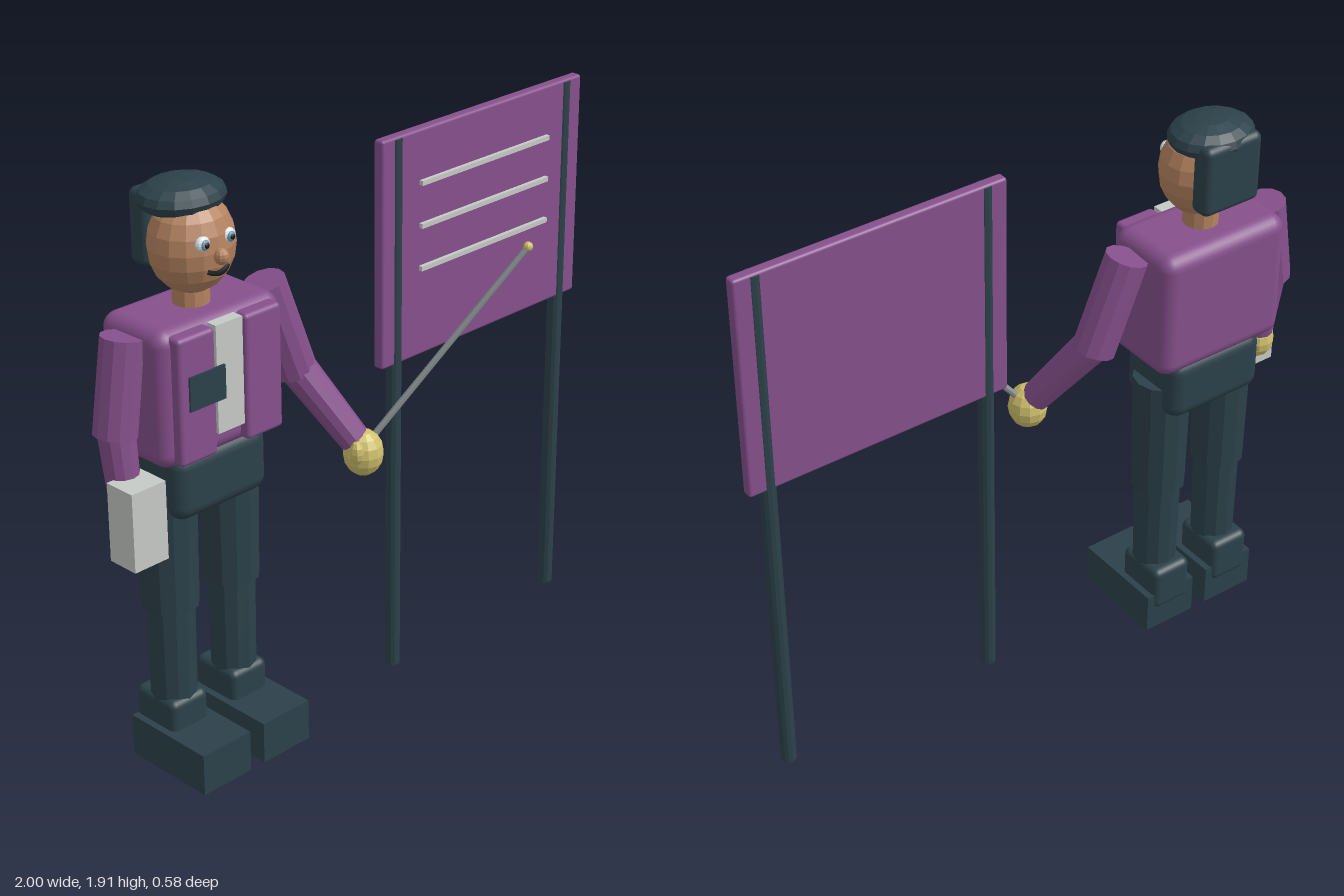
import * as THREE from 'three';
import { RoundedBoxGeometry } from 'three/addons/geometries/RoundedBoxGeometry.js';

function material(name, color) {
  const m = new THREE.MeshStandardMaterial({ color });
  m.name = name;
  return m;
}

const purple = material('purple', 0x86508c);
const dark = material('darkSlate', 0x2c414a);
const skin = material('skin', 0xb58360);
const yellow = material('gloveYellow', 0xcfc06c);
const white = material('paleGrey', 0xc6cac6);
const eyeWhite = material('eyeWhite', 0xdfe8ec);
const iris = material('irisBlue', 0x6f93a6);
const black = material('black', 0x15191b);
const grey = material('pointerGrey', 0x858b8f);

const V = (x, y, z) => new THREE.Vector3(x, y, z);

// Gives a geometry hard facets
function facet(geometry) {
  const g = geometry.toNonIndexed();
  g.computeVertexNormals();
  return g;
}

export function createModel() {
  const model = new THREE.Group();
  model.name = 'presenterWithBoard';

  function add(parent, name, geometry, mat, x = 0, y = 0, z = 0) {
    const mesh = new THREE.Mesh(geometry, mat);
    mesh.name = name;
    mesh.position.set(x, y, z);
    parent.add(mesh);
    return mesh;
  }

  // Box given by its lower and upper corners, rounded when r > 0
  function box(parent, name, mat, [x0, y0, z0], [x1, y1, z1], r = 0) {
    const size = [x1 - x0, y1 - y0, z1 - z0];
    const g = r ? new RoundedBoxGeometry(...size, 3, r) : new THREE.BoxGeometry(...size);
    return add(parent, name, g, mat, (x0 + x1) / 2, (y0 + y1) / 2, (z0 + z1) / 2);
  }

  // Faceted limb from a to b
  function limb(parent, name, mat, a, b, ra, rb, sides = 12) {
    const g = facet(new THREE.CylinderGeometry(rb, ra, a.distanceTo(b), sides));
    const mesh = add(parent, name, g, mat);
    mesh.position.copy(a).lerp(b, 0.5);
    mesh.quaternion.setFromUnitVectors(V(0, 1, 0), b.clone().sub(a).normalize());
    return mesh;
  }

  function ball(parent, name, mat, [x, y, z], [rx, ry, rz], w = 12, h = 8) {
    const g = facet(new THREE.SphereGeometry(1, w, h).scale(rx, ry, rz));
    return add(parent, name, g, mat, x, y, z);
  }

  const figure = new THREE.Group();
  figure.name = 'figure';
  model.add(figure);
  const cx = -0.615;

  // Jacket, shirt and hips
  box(figure, 'jacket', purple, [-0.86, 1.085, -0.285], [-0.37, 1.53, 0.0], 0.05);
  box(figure, 'hips', dark, [-0.8, 0.885, -0.27], [-0.43, 1.11, -0.01], 0.05);
  box(figure, 'shirtFront', white, [-0.668, 1.165, -0.02], [-0.563, 1.515, 0.025]);
  box(figure, 'rightJacketFront', purple, [-0.82, 1.105, -0.03], [-0.675, 1.515, 0.032], 0.015);
  box(figure, 'leftJacketFront', purple, [-0.557, 1.105, -0.03], [-0.41, 1.515, 0.032], 0.015);
  box(figure, 'chestPocket', dark, [-0.785, 1.28, 0.03], [-0.645, 1.39, 0.038]);

  // Legs and shoes
  for (const [side, x] of [['right', -0.742], ['left', -0.488]]) {
    const leg = new THREE.Group();
    leg.name = side + 'Leg';
    figure.add(leg);
    limb(leg, 'thigh', dark, V(x, 0.555, -0.14), V(x, 0.99, -0.14), 0.091, 0.097);
    limb(leg, 'shin', dark, V(x, 0.1, -0.14), V(x, 0.58, -0.14), 0.073, 0.078);
    box(leg, 'ankle', dark, [x - 0.075, 0.08, -0.245], [x + 0.075, 0.245, -0.06], 0.025);
    box(leg, 'shoe', dark, [x - 0.098, 0, -0.235], [x + 0.098, 0.143, 0.102]);
  }

  // Head
  const head = new THREE.Group();
  head.name = 'head';
  figure.add(head);
  limb(head, 'neck', skin, V(cx, 1.5, -0.14), V(cx, 1.62, -0.14), 0.058, 0.058);
  ball(head, 'face', skin, [cx, 1.72, -0.13], [0.14, 0.155, 0.125], 16, 10);
  ball(head, 'hairTop', dark, [cx, 1.857, -0.168], [0.145, 0.058, 0.123], 16, 8);
  box(head, 'hairBack', dark, [cx - 0.11, 1.64, -0.287], [cx + 0.11, 1.88, -0.21], 0.025);
  ball(head, 'nose', skin, [cx, 1.71, -0.001], [0.023, 0.026, 0.025], 10, 8);
  for (const s of [-1, 1]) {
    const x = cx + s * 0.05;
    ball(head, 'eye', eyeWhite, [x, 1.755, -0.025], [0.026, 0.024, 0.018]);
    ball(head, 'iris', iris, [x, 1.755, -0.011], [0.016, 0.016, 0.008]);
    ball(head, 'pupil', black, [x, 1.755, -0.005], [0.009, 0.009, 0.005]);
  }
  const smile = new THREE.QuadraticBezierCurve3(
    V(cx - 0.04, 1.667, -0.02), V(cx, 1.644, 0.0), V(cx + 0.04, 1.667, -0.02));
  add(head, 'mouth', new THREE.TubeGeometry(smile, 10, 0.008, 6), black);

  // Right arm holding a case
  const rightArm = new THREE.Group();
  rightArm.name = 'rightArm';
  figure.add(rightArm);
  limb(rightArm, 'upperArm', purple, V(-0.931, 1.2, -0.135), V(-0.882, 1.5, -0.14), 0.069, 0.068);
  limb(rightArm, 'forearm', purple, V(-0.925, 0.97, -0.105), V(-0.928, 1.22, -0.135), 0.05, 0.058);
  ball(rightArm, 'hand', yellow, [-0.925, 0.935, -0.1], [0.058, 0.07, 0.06]);
  ball(rightArm, 'thumb', yellow, [-0.878, 0.95, -0.07], [0.022, 0.04, 0.025], 8, 6);
  box(rightArm, 'case', white, [-1, 0.82, -0.1], [-0.87, 1.08, 0.012]);

  // Left arm holding a pointer
  const leftArm = new THREE.Group();
  leftArm.name = 'leftArm';
  figure.add(leftArm);
  limb(leftArm, 'upperArm', purple, V(-0.222, 1.185, -0.115), V(-0.325, 1.505, -0.14), 0.071, 0.07);
  limb(leftArm, 'forearm', purple, V(-0.112, 0.955, 0.04), V(-0.222, 1.2, -0.11), 0.05, 0.06);
  ball(leftArm, 'hand', yellow, [-0.098, 0.915, 0.062], [0.066, 0.078, 0.066]);
  ball(leftArm, 'thumb', yellow, [-0.15, 0.937, 0.085], [0.022, 0.04, 0.025], 8, 6);
  const tip = V(0.416, 1.523, 0.278);
  limb(leftArm, 'pointer', grey, V(-0.07, 0.95, 0.066), tip, 0.011, 0.01, 8);
  ball(leftArm, 'pointerTip', yellow, tip.toArray(), [0.016, 0.016, 0.016], 10, 8);

  // Notice board on two posts
  const board = new THREE.Group();
  board.name = 'board';
  model.add(board);
  box(board, 'panel', purple, [0.063, 1.118, -0.052], [0.998, 1.883, -0.012], 0.01);
  for (const x of [0.134, 0.925]) {
    limb(board, 'post', dark, V(x, 0, -0.031), V(x, 1.875, -0.031), 0.026, 0.026);
  }
  for (const y of [1.709, 1.566, 1.422]) {
    box(board, 'writingLine', white, [0.228, y - 0.008, -0.014], [0.83, y + 0.008, 0.002]);
  }

  return model;
}
